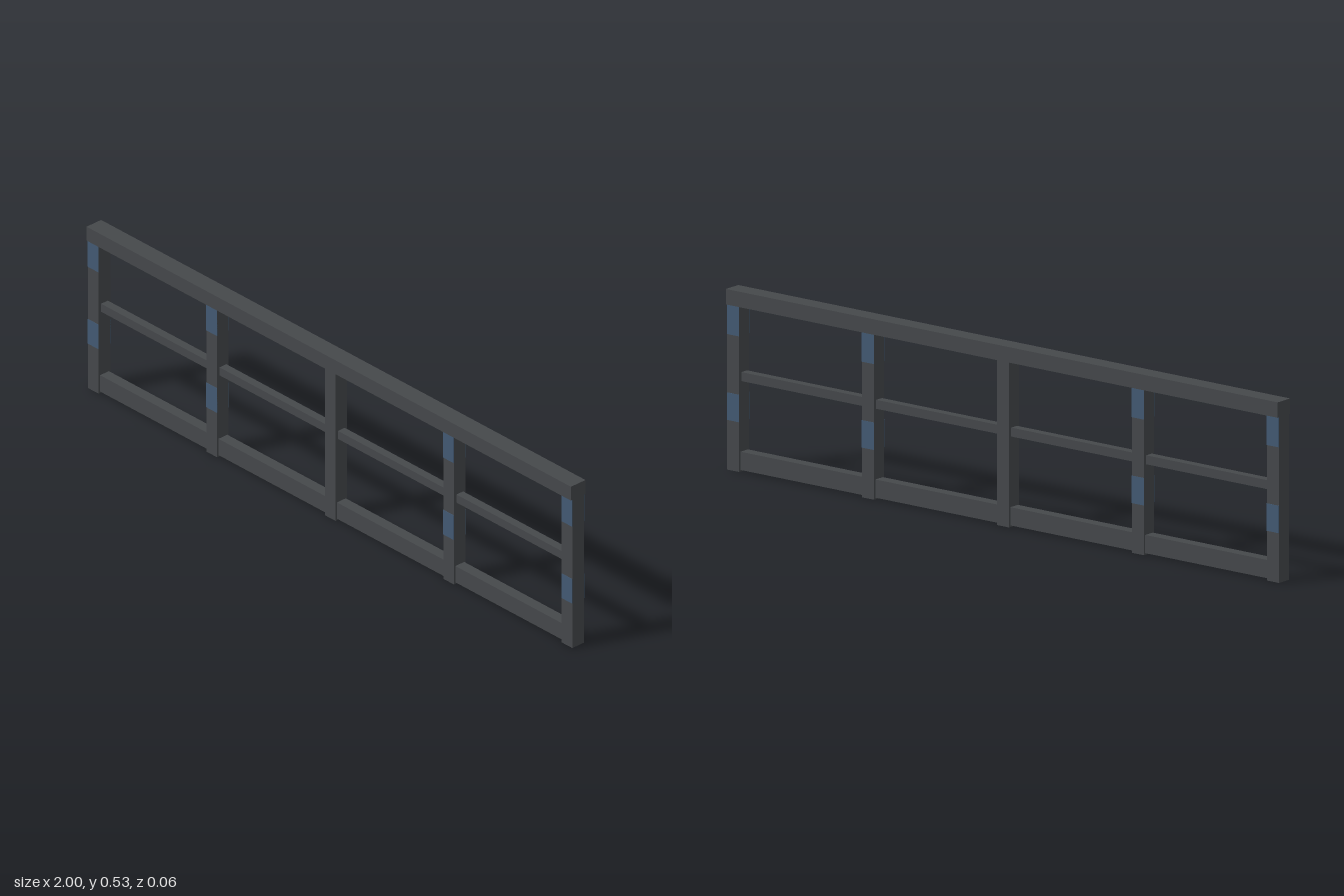
import * as THREE from 'three';

export function createModel() {
  const group = new THREE.Group();
  const metal = new THREE.MeshStandardMaterial({ color: 0x45484b });
  metal.name = 'dark grey metal';
  const blue = new THREE.MeshStandardMaterial({ color: 0x435a74 });
  blue.name = 'slate blue';

  // Box given by its centre x and z, its bottom and top, width and depth
  function box(name, material, x, y0, y1, z, width, depth, parent = group) {
    const mesh = new THREE.Mesh(new THREE.BoxGeometry(width, y1 - y0, depth), material);
    mesh.name = name;
    mesh.position.set(x, (y0 + y1) / 2, z);
    parent.add(mesh);
  }

  const postWidth = 0.044, postDepth = 0.045, railBase = 0.482;
  const postXs = [-0.978, -0.489, 0, 0.489, 0.978];

  // Handrail resting on the posts
  box('handrail', metal, 0, railBase, 0.527, 0, 2, 0.056);

  // Posts, with blue bands front and back on all but the middle one
  for (const x of postXs) {
    const post = new THREE.Group();
    post.name = 'post';
    post.position.x = x;
    box('postBar', metal, 0, 0, railBase, 0, postWidth, postDepth, post);
    if (x !== 0) {
      for (const [y0, y1] of [[0.145, 0.225], [0.395, railBase]]) {
        for (const side of [-1, 1]) {
          box('blueBand', blue, 0, y0, y1, side * postDepth / 2, postWidth, 0.002, post);
        }
      }
    }
    group.add(post);
  }

  // Thinner rails filling each bay between posts
  for (let i = 0; i < postXs.length - 1; i++) {
    const x = (postXs[i] + postXs[i + 1]) / 2;
    const length = postXs[i + 1] - postXs[i] - postWidth;
    box('middleRail', metal, x, 0.263, 0.289, 0, length, 0.026);
    box('bottomRail', metal, x, 0.005, 0.058, 0, length, 0.034);
  }

  return group;
}
